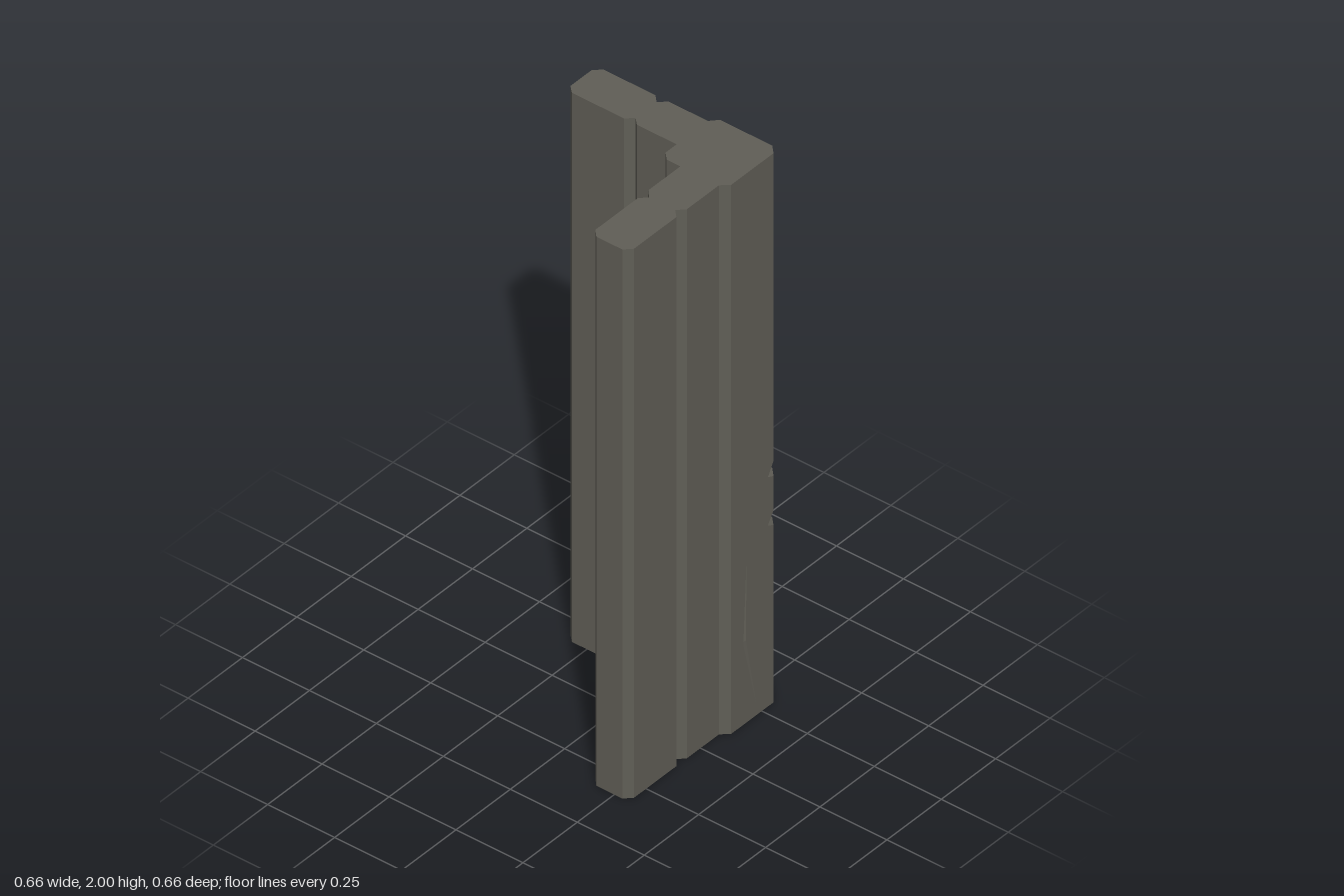
import * as THREE from 'three';

const H = 2, R = 0.33, C = 0.026;
const material = new THREE.MeshStandardMaterial({ color: 0x605e56, flatShading: true, side: THREE.DoubleSide });

// Outline [x, z] from the front corner round the left-hand arm to the inner corner
const half = [
  [R - C, R], [0.109, R], [0.085, 0.304],
  [-0.063, 0.304], [-0.087, 0.28], [-0.111, 0.304],
  [-0.306, 0.304], [-R, 0.28], [-R, 0.183], [-0.306, 0.16],
  [-0.111, 0.16], [-0.087, 0.183], [-0.063, 0.16],
  [0.085, 0.16], [0.085, 0.109],
];
// The other arm is the same half with x and z swapped
const outline = [...half, ...half.map(([x, z]) => [z, x]).reverse()];

// Chamfer width by height [y, width]; the wide places are nicks in the edge
const chamfer = [
  [0, C], [0.645, C], [0.66, 0.052], [0.7, C],
  [0.825, C], [0.835, 0.052], [0.88, C], [H, C],
];

function fromTriangles(points) {
  const g = new THREE.BufferGeometry();
  g.setAttribute('position', new THREE.Float32BufferAttribute(points.flat(), 3));
  g.computeVertexNormals();
  return g;
}

// Wall between two outline points, seen from outside with a on the right
function wall(a0, b0, a1, b1, y0, y1) {
  const p = ([x, z], y) => [x, y, z];
  return [p(b0, y0), p(a0, y0), p(a1, y1), p(b0, y0), p(a1, y1), p(b1, y1)];
}

const shapeOf = (pts) => new THREE.Shape(pts.map(([x, y]) => new THREE.Vector2(x, y)));

export function createModel() {
  const group = new THREE.Group();
  const add = (name, geometry, parent = group) => {
    const mesh = new THREE.Mesh(geometry, material);
    mesh.name = name;
    parent.add(mesh);
    return mesh;
  };

  // Upright walls, leaving out the two cracked post faces and the nicked edge
  const sides = [];
  for (let i = 1; i < outline.length - 2; i++) {
    const a = outline[i], b = outline[i + 1];
    sides.push(...wall(a, b, a, b, 0, H));
  }
  add('walls', fromTriangles(sides));

  // Nicked front edge of the corner post
  const edge = [];
  for (let i = 0; i < chamfer.length - 1; i++) {
    const [y0, c0] = chamfer[i], [y1, c1] = chamfer[i + 1];
    edge.push(...wall([R, R - c0], [R - c0, R], [R, R - c1], [R - c1, R], y0, y1));
  }
  add('nickedEdge', fromTriangles(edge));

  // Post face with a crack: sign mirrors the panel, valley is the crack's deepest point
  function crackedFace(name, sign, rim, valley) {
    const face = new THREE.Group();
    face.name = name;
    const shape = shapeOf([
      [sign * 0.109, H], [sign * 0.109, 0],
      ...chamfer.map(([y, c]) => [sign * (R - c), y]),
    ]);
    shape.holes.push(new THREE.Path(rim.map(([x, y]) => new THREE.Vector2(x, y))));
    add(name + 'Panel', new THREE.ShapeGeometry(shape), face);
    const crack = rim.flatMap(([x, y], i) => {
      const [x2, y2] = rim[(i + 1) % rim.length];
      return [[x, y, 0], [x2, y2, 0], valley];
    });
    add(name + 'Crack', fromTriangles(crack), face);
    group.add(face);
    return face;
  }
  crackedFace('frontFace', 1,
    [[0.18, 0.6], [0.165, 0.29], [0.225, 0.04], [0.177, 0.3]],
    [0.171, 0.29, -0.01]).position.z = R;
  const left = crackedFace('leftFace', -1,
    [[-0.24, 1.84], [-0.218, 1.2], [-0.21, 0.9], [-0.18, 1.17]],
    [-0.205, 1.2, -0.015]);
  left.rotation.y = Math.PI / 2;
  left.position.x = R;

  // End caps
  const top = add('topCap', new THREE.ShapeGeometry(shapeOf(outline.map(([x, z]) => [x, -z]))));
  top.rotation.x = -Math.PI / 2;
  top.position.y = H;
  const bottom = add('bottomCap', new THREE.ShapeGeometry(shapeOf(outline)));
  bottom.rotation.x = Math.PI / 2;

  return group;
}
